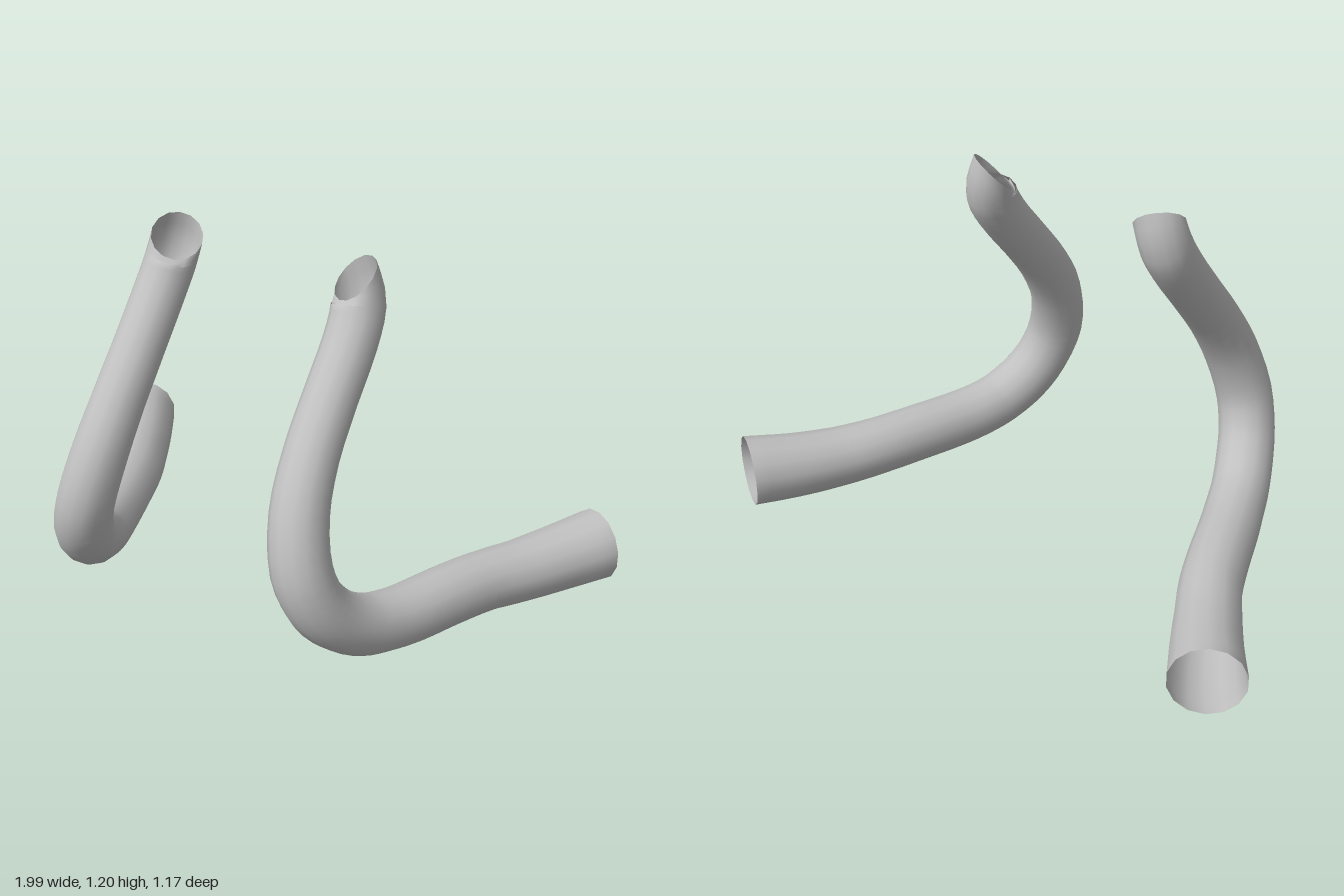
import * as THREE from 'three';

// Centreline of one tube (x, y, z, radius), from the low rear end to the raised tip
const PATH = [
  [0.90, 0.125, -0.523, 0.117],
  [0.82, 0.113, -0.40, 0.109],
  [0.74, 0.109, -0.265, 0.102],
  [0.67, 0.116, -0.14, 0.098],
  [0.612, 0.121, 0.0, 0.097],
  [0.56, 0.124, 0.14, 0.096],
  [0.525, 0.134, 0.23, 0.095],
  [0.493, 0.157, 0.315, 0.094],
  [0.455, 0.21, 0.40, 0.094],
  [0.42, 0.29, 0.465, 0.093],
  [0.385, 0.405, 0.493, 0.092],
  [0.352, 0.565, 0.452, 0.088],
  [0.338, 0.71, 0.365, 0.083],
  [0.335, 0.85, 0.25, 0.081],
  [0.335, 0.98, 0.14, 0.081],
  [0.328, 1.07, 0.083, 0.081],
  [0.31, 1.148, 0.07, 0.08],
];
const START_NORMAL = new THREE.Vector3(-0.53, 0, 0.85).normalize();
const TIP_NORMAL = new THREE.Vector3(-0.45, 0.71, 0.54).normalize();
const SIDES = 14, STEPS = 48;

// Open tube swept along the centreline; side is 1 for left, -1 for right
function tubeGeometry(side) {
  const curve = new THREE.CatmullRomCurve3(PATH.map(p => new THREE.Vector3(p[0], p[1], p[2])));
  const positions = [], index = [];
  const u = new THREE.Vector3(0, 1, 0), v = new THREE.Vector3();
  for (let i = 0; i <= STEPS; i++) {
    const t = i / STEPS;
    const centre = curve.getPoint(t);
    const tangent = curve.getTangent(t);
    // Tilt the last rings towards the slanted cut at each end
    tangent.lerp(START_NORMAL, Math.max(0, 1 - i / 3)).normalize();
    tangent.lerp(TIP_NORMAL, Math.max(0, 1 - (STEPS - i) / 3)).normalize();
    // Carry the ring axes along without twist
    u.addScaledVector(tangent, -u.dot(tangent)).normalize();
    v.crossVectors(tangent, u);
    const k = t * (PATH.length - 1), a = Math.min(Math.floor(k), PATH.length - 2);
    const r = THREE.MathUtils.lerp(PATH[a][3], PATH[a + 1][3], k - a);
    for (let j = 0; j < SIDES; j++) {
      const angle = j / SIDES * Math.PI * 2;
      const p = centre.clone().addScaledVector(u, r * Math.cos(angle)).addScaledVector(v, r * Math.sin(angle));
      positions.push(p.x * side, p.y, p.z);
      if (i === STEPS) continue;
      const n = (j + 1) % SIDES;
      const p0 = i * SIDES + j, p1 = i * SIDES + n, p2 = p0 + SIDES, p3 = p1 + SIDES;
      if (side > 0) index.push(p0, p1, p2, p1, p3, p2);
      else index.push(p0, p2, p1, p1, p2, p3);
    }
  }
  const geometry = new THREE.BufferGeometry();
  geometry.setAttribute('position', new THREE.Float32BufferAttribute(positions, 3));
  geometry.setIndex(index);
  geometry.computeVertexNormals();
  return geometry;
}

export function createModel() {
  const group = new THREE.Group();
  group.name = 'bentTubes';
  const grey = new THREE.MeshStandardMaterial({ color: 0xc0c0c0, side: THREE.DoubleSide });
  grey.name = 'grey';
  for (const [name, side] of [['leftTube', 1], ['rightTube', -1]]) {
    const tube = new THREE.Mesh(tubeGeometry(side), grey);
    tube.name = name;
    group.add(tube);
  }
  return group;
}
